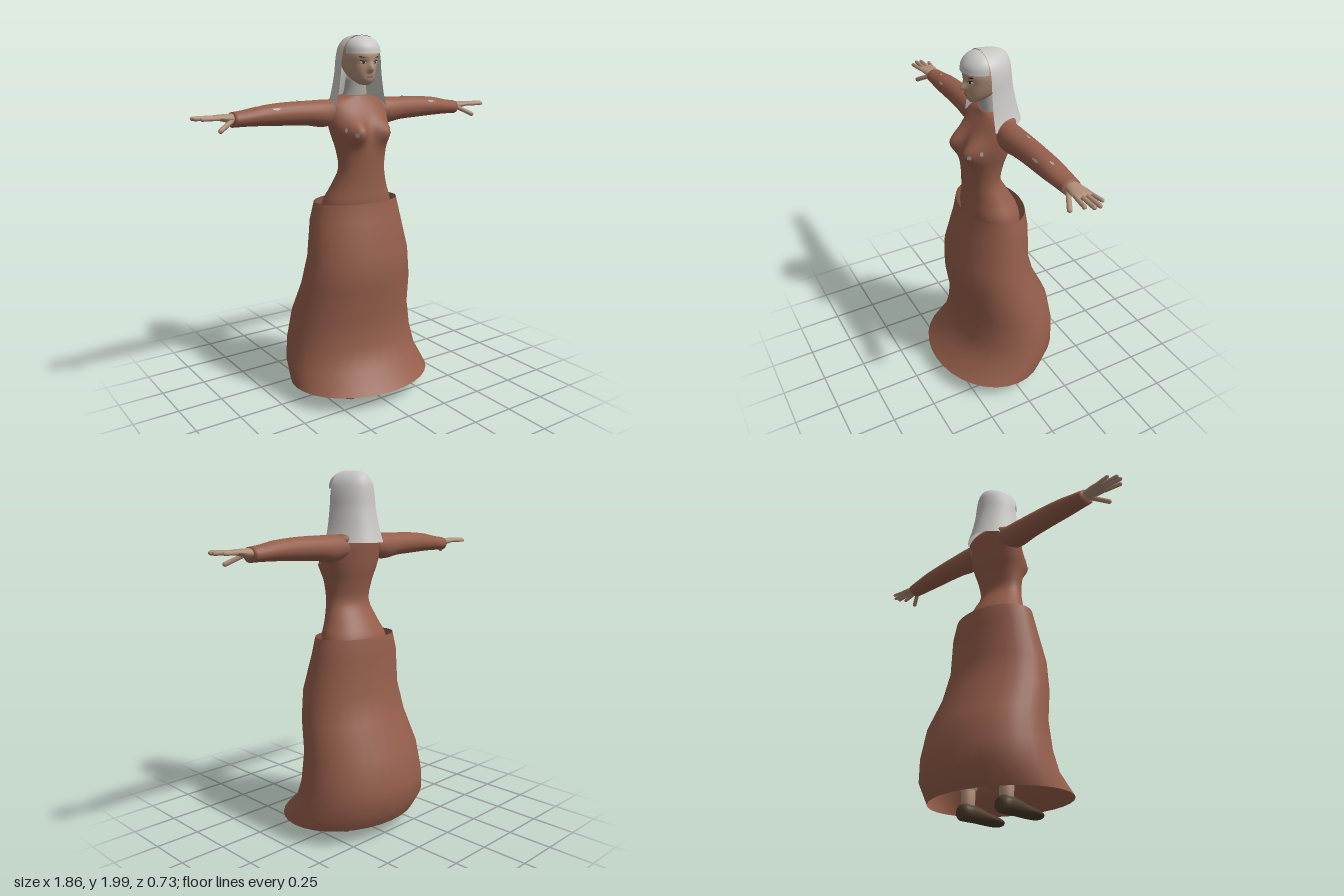
import * as THREE from 'three';
import { mergeGeometries } from 'three/addons/utils/BufferGeometryUtils.js';

const material = (name, color, side = THREE.FrontSide) => {
  const m = new THREE.MeshStandardMaterial({ color, side });
  m.name = name;
  return m;
};

// Elliptical rings stacked along y; section = [y, halfWidth, zFront, zBack, xCentre]
function loft(sections, { n = 28, steps = 4, from = 0, to = Math.PI * 2, cap = true, bump } = {}) {
  const closed = to - from > 6.28, cols = closed ? n : n + 1;
  const curve = (pick) => new THREE.CatmullRomCurve3(sections.map(pick), false, 'catmullrom', 0.5);
  const a = curve((s) => new THREE.Vector3(s[0], s[1], s[4] || 0));
  const b = curve((s) => new THREE.Vector3(s[2], s[3], 0));
  const rows = (sections.length - 1) * steps, pos = [], idx = [];
  for (let i = 0; i <= rows; i++) {
    const p = a.getPoint(i / rows), q = b.getPoint(i / rows);
    for (let j = 0; j < cols; j++) {
      const t = from + ((to - from) * j) / n;
      const x = p.z + p.y * Math.cos(t);
      let z = (q.x + q.y) / 2 + ((q.x - q.y) / 2) * Math.sin(t);
      if (bump && Math.sin(t) > 0) z += bump(x, p.x) * Math.min(1, Math.sin(t) * 2);
      pos.push(x, p.x, z);
    }
  }
  for (let i = 0; i < rows; i++) for (let j = 0; j < n; j++) {
    const k = closed ? (j + 1) % n : j + 1;
    const p = i * cols + j, q = i * cols + k;
    idx.push(p, p + cols, q, q, p + cols, q + cols);
  }
  if (cap && closed) {
    [[0, sections[0]], [rows, sections[sections.length - 1]]].forEach(([row, s]) => {
      const c = pos.length / 3;
      pos.push(s[4] || 0, s[0], (s[2] + s[3]) / 2);
      for (let j = 0; j < n; j++) {
        const p = row * cols + j, q = row * cols + (j + 1) % n;
        row ? idx.push(p, c, q) : idx.push(p, q, c);
      }
    });
  }
  const g = new THREE.BufferGeometry();
  g.setAttribute('position', new THREE.Float32BufferAttribute(pos, 3));
  g.setIndex(idx);
  g.computeVertexNormals();
  return g;
}

// Copy of a geometry reflected across x, with its winding restored
function mirror(g) {
  const m = g.clone().scale(-1, 1, 1), i = m.index.array;
  for (let k = 0; k < i.length; k += 3) [i[k], i[k + 1]] = [i[k + 1], i[k]];
  m.computeVertexNormals();
  return m;
}

// Rounded finger between two points
function finger(p, q, r) {
  const a = new THREE.Vector3(...p), b = new THREE.Vector3(...q), d = b.clone().sub(a);
  const g = new THREE.CapsuleGeometry(r, d.length() - r, 3, 8);
  g.applyQuaternion(new THREE.Quaternion().setFromUnitVectors(new THREE.Vector3(0, 1, 0), d.normalize()));
  g.translate(...a.add(b).multiplyScalar(0.5).toArray());
  g.deleteAttribute('uv');
  return g;
}

const gauss = (d, w) => Math.exp(-((d / w) ** 2));

export function createModel() {
  const root = new THREE.Group();
  root.name = 'womanInLongDress';
  const dress = material('russetCloth', 0x955e4b, THREE.DoubleSide);
  const hair = material('paleHair', 0xc9c7c2, THREE.DoubleSide);
  const skin = material('skin', 0xb08f79);
  const linen = material('greyLinen', 0xa9a7a2, THREE.DoubleSide);
  const leather = material('brownLeather', 0x4c3d2c);
  const dark = material('darkBrown', 0x35271f);
  const white = material('eyeWhite', 0xcfc8c0);
  const lip = material('lips', 0x8a5c4e);

  const add = (name, g, m) => {
    const mesh = new THREE.Mesh(g, m);
    mesh.name = name;
    root.add(mesh);
    return mesh;
  };
  const pair = (name, g, m) => [add(name + 'Left', g, m), add(name + 'Right', mirror(g), m)];

  // Skirt: open tube with swaying profile
  add('skirt', loft([
    [0.1, 0.42, 0.365, -0.3], [0.2, 0.405, 0.26, -0.36], [0.32, 0.387, 0.218, -0.362],
    [0.48, 0.362, 0.206, -0.33], [0.66, 0.334, 0.236, -0.24], [0.82, 0.309, 0.235, -0.195],
    [1.02, 0.278, 0.175, -0.19], [1.12, 0.252, 0.16, -0.175],
  ], { n: 32, steps: 1, cap: false }), dress);

  // Bodice with bust
  const bodice = add('bodice', loft([
    [0.96, 0.2, 0.12, -0.16], [1.1, 0.208, 0.142, -0.148], [1.2, 0.168, 0.14, -0.098],
    [1.3, 0.138, 0.143, -0.047], [1.4, 0.148, 0.148, -0.062], [1.48, 0.168, 0.14, -0.085],
    [1.55, 0.182, 0.122, -0.1], [1.62, 0.188, 0.085, -0.112], [1.66, 0.165, 0.06, -0.11],
    [1.69, 0.075, 0.045, -0.085],
  ], { n: 40, bump: (x, y) => 0.065 * gauss(Math.abs(x) - 0.085, 0.055) * gauss(y - 1.5, 0.065) }), dress);

  // Sleeves, lofted along x
  const sleeves = pair('sleeve', loft([
    [0.1, 0.06, 0.035, -0.09, -1.605], [0.2, 0.072, 0.048, -0.093, -1.597],
    [0.3, 0.064, 0.045, -0.09, -1.603], [0.42, 0.06, 0.04, -0.085, -1.605],
    [0.55, 0.052, 0.038, -0.083, -1.603], [0.65, 0.042, 0.028, -0.08, -1.595],
    [0.72, 0.038, 0.02, -0.075, -1.59],
  ], { n: 20 }).rotateZ(-Math.PI / 2), dress);

  // Hands: palm, four fingers and thumb
  const palm = loft([
    [0.69, 0.024, 0.005, -0.06, -1.597], [0.74, 0.022, 0.015, -0.065, -1.6],
    [0.79, 0.015, 0.025, -0.07, -1.605], [0.83, 0.009, 0.022, -0.066, -1.607],
  ], { n: 14, steps: 2 }).rotateZ(-Math.PI / 2);
  pair('hand', mergeGeometries([
    palm,
    finger([0.8, 1.605, 0.014], [0.9, 1.607, 0.03], 0.011),
    finger([0.8, 1.606, -0.01], [0.925, 1.608, -0.004], 0.011),
    finger([0.8, 1.606, -0.034], [0.925, 1.607, -0.034], 0.011),
    finger([0.8, 1.605, -0.056], [0.89, 1.605, -0.07], 0.01),
    finger([0.73, 1.59, 0.0], [0.815, 1.545, 0.045], 0.013),
  ]), skin);

  // Legs and shoes under the skirt
  pair('stocking', loft([
    [0.17, 0.045, -0.01, -0.1, 0.14], [0.4, 0.062, 0.01, -0.115, 0.138],
    [0.58, 0.056, 0.025, -0.09, 0.13], [1.0, 0.092, 0.09, -0.1, 0.105],
  ], { n: 16 }), linen);
  pair('ankle', loft([[0.07, 0.036, -0.02, -0.095, 0.14], [0.2, 0.038, -0.018, -0.092, 0.14]],
    { n: 14, steps: 1 }), skin);
  pair('shoe', loft([
    [-0.112, 0.025, -0.02, -0.08, 0.14], [-0.09, 0.05, -0.01, -0.1, 0.14],
    [-0.02, 0.052, -0.01, -0.1, 0.14], [0.05, 0.058, -0.01, -0.075, 0.14],
    [0.12, 0.063, -0.01, -0.058, 0.14], [0.165, 0.047, -0.01, -0.046, 0.14],
    [0.183, 0.018, -0.016, -0.034, 0.14],
  ], { n: 18, steps: 2 }).rotateX(Math.PI / 2), leather);

  // Collar and head, with nose and chin relief
  add('collar', loft([
    [1.64, 0.09, 0.04, -0.09], [1.7, 0.065, 0.045, -0.07], [1.79, 0.05, 0.045, -0.06],
  ], { n: 20 }), linen);
  add('head', loft([
    [1.745, 0.025, 0.108, 0.05], [1.768, 0.052, 0.124, 0.0], [1.8, 0.073, 0.13, -0.05],
    [1.85, 0.09, 0.132, -0.085], [1.9, 0.094, 0.138, -0.095], [1.95, 0.078, 0.11, -0.085],
    [1.98, 0.04, 0.07, -0.05],
  ], {
    n: 64, steps: 5,
    bump: (x, y) => 0.03 * gauss(x, 0.014) * gauss(y - (y > 1.825 ? 1.825 : 1.823), y > 1.825 ? 0.03 : 0.011)
      - 0.006 * gauss(Math.abs(x) - 0.037, 0.018) * gauss(y - 1.86, 0.014),
  }), skin);

  // Eyes, brows and lips
  const plate = (w, h, x, y, z, tilt = 0) =>
    new THREE.SphereGeometry(1, 12, 6).scale(w, h, 0.004).rotateZ(tilt).rotateY(x * 10).translate(x, y, z);
  pair('eye', plate(0.018, 0.007, 0.037, 1.86, 0.118, 0.12), white);
  pair('iris', plate(0.007, 0.007, 0.036, 1.86, 0.1205), dark);
  pair('lash', plate(0.021, 0.003, 0.038, 1.868, 0.121, 0.12), dark);
  pair('brow', plate(0.024, 0.004, 0.04, 1.887, 0.124, 0.16), dark);
  add('mouth', plate(0.021, 0.006, 0, 1.788, 0.128), lip);

  // Long back hair and cut fringe, meeting at z = 0.05
  add('longHair', loft([
    [1.625, 0.166, -0.17], [1.7, 0.146, -0.148], [1.8, 0.131, -0.125], [1.88, 0.124, -0.116],
    [1.94, 0.108, -0.106], [1.98, 0.074, -0.08], [1.997, 0.035, -0.03], [2, 0.002, 0.04],
  ].map(([y, w, b]) => [y, w, 0.1 - b, b]), { from: Math.PI, to: Math.PI * 2 }), hair);
  add('fringe', loft([
    [1.906, 0.1, 0.148], [1.94, 0.097, 0.141], [1.97, 0.08, 0.118], [1.99, 0.045, 0.085], [1.998, 0.002, 0.052],
  ].map(([y, w, f]) => [y, w, f, 0.1 - f]), { from: 0, to: Math.PI }), hair);

  // Small linen patches showing through the cloth
  const ray = new THREE.Raycaster();
  const patch = (mesh, origin, dir, w, h) => {
    ray.set(new THREE.Vector3(...origin), new THREE.Vector3(...dir));
    const hit = ray.intersectObject(mesh)[0];
    if (!hit) return;
    const p = add('linenPatch', new THREE.CircleGeometry(1, 5).scale(w, h, 1), linen);
    p.quaternion.setFromUnitVectors(new THREE.Vector3(0, 0, 1), hit.face.normal);
    p.position.copy(hit.point).addScaledVector(hit.face.normal, 0.003);
  };
  for (const s of [1, -1]) {
    const sleeve = sleeves[s > 0 ? 0 : 1];
    patch(bodice, [s * 0.105, 1.492, 1], [0, 0, -1], 0.014, 0.015);
    patch(bodice, [s * 0.138, 1.515, 1], [0, 0, -1], 0.01, 0.014);
    patch(sleeve, [s * 0.5, 1.635, 1], [0, 0, -1], 0.028, 0.007);
    patch(sleeve, [s * 0.34, 3, -0.03], [0, -1, 0], 0.018, 0.006);
    patch(sleeve, [s * 0.58, 3, -0.01], [0, -1, 0], 0.018, 0.006);
  }
  return root;
}
